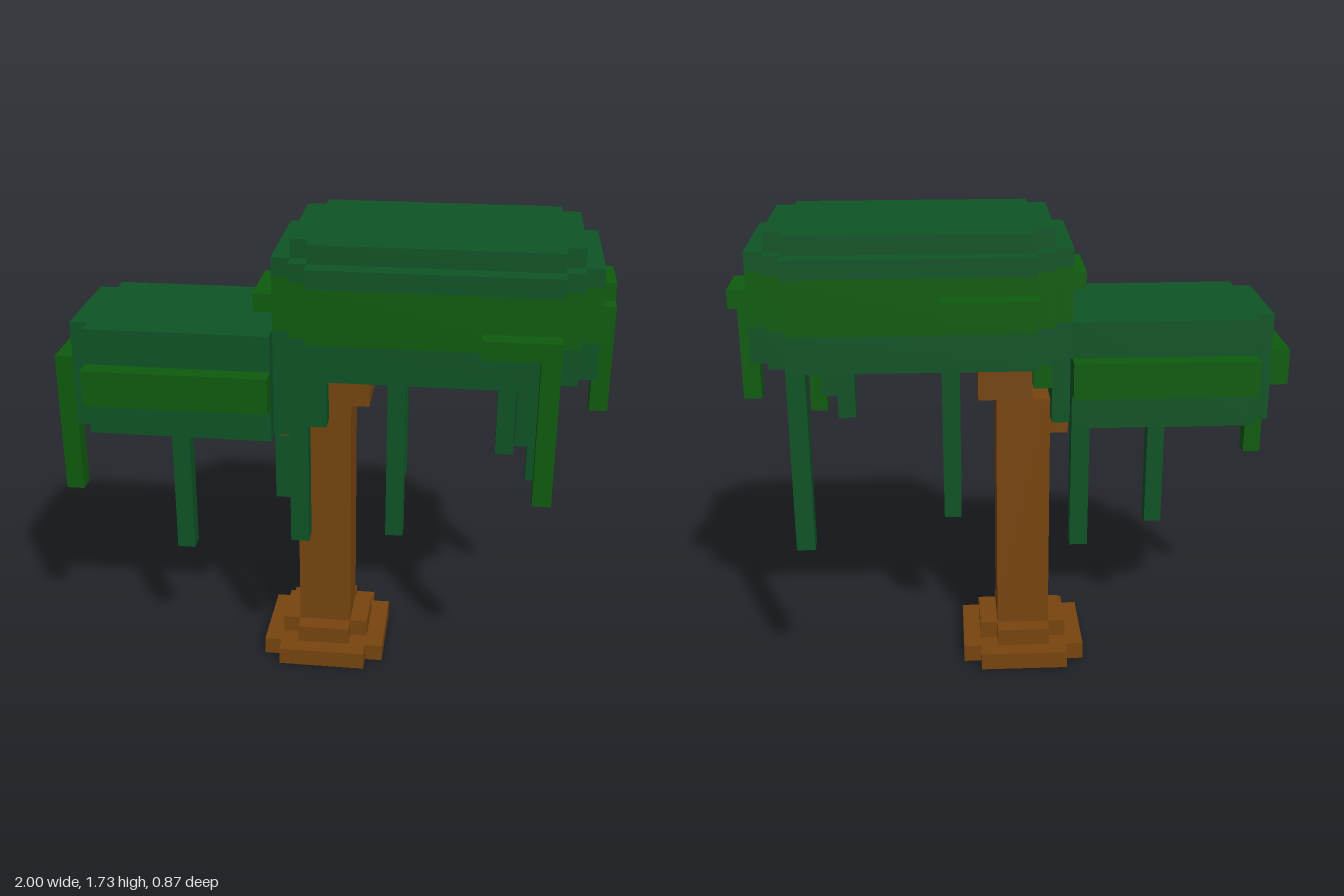
import * as THREE from 'three';

// Blocky tree, laid out on a grid of cells 1/15 unit wide.
const CELL = 1 / 15;

export function createModel() {
  const tree = new THREE.Group();
  tree.name = 'tree';

  const material = (name, color) => {
    const m = new THREE.MeshStandardMaterial({ color });
    m.name = name;
    return m;
  };
  const bark = material('bark brown', 0x78450e);
  const leaf = material('dark leaf green', 0x0e5426);
  const bright = material('bright leaf green', 0x0e5c0e);

  const part = (name) => {
    const g = new THREE.Group();
    g.name = name;
    tree.add(g);
    return g;
  };

  // Box given by its cell limits along each axis
  const block = (parent, name, mat, [x0, x1], [y0, y1], [z0, z1]) => {
    const geo = new THREE.BoxGeometry((x1 - x0) * CELL, (y1 - y0) * CELL, (z1 - z0) * CELL);
    const mesh = new THREE.Mesh(geo, mat);
    mesh.position.set((x0 + x1) / 2, (y0 + y1) / 2, (z0 + z1) / 2).multiplyScalar(CELL);
    mesh.name = name;
    parent.add(mesh);
  };

  // Slab whose corners are cut back in one-cell steps
  const steppedSlab = (parent, name, mat, [x0, x1], y, [z0, z1], steps) => {
    const shape = new THREE.Shape();
    const corner = (x, z, sx, sz, reverse) => {
      const pts = [];
      for (let i = 0; i <= steps; i++) {
        pts.push([x + sx * i, z + sz * (steps - i)]);
        if (i < steps) pts.push([x + sx * (i + 1), z + sz * (steps - i)]);
      }
      return reverse ? pts.reverse() : pts;
    };
    const outline = [
      ...corner(x0, z0, 1, 1, false),
      ...corner(x1, z0, -1, 1, true),
      ...corner(x1, z1, -1, -1, false),
      ...corner(x0, z1, 1, -1, true),
    ];
    shape.setFromPoints(outline.map(([x, z]) => new THREE.Vector2(x * CELL, -z * CELL)));
    const geo = new THREE.ExtrudeGeometry(shape, { depth: (y[1] - y[0]) * CELL, bevelEnabled: false });
    geo.rotateX(-Math.PI / 2);
    const mesh = new THREE.Mesh(geo, mat);
    mesh.position.y = y[0] * CELL;
    mesh.name = name;
    parent.add(mesh);
  };

  // Roots and leaning trunk
  const trunk = part('trunk');
  const depth = [-1.5, 1.5];
  steppedSlab(trunk, 'lowerRoots', bark, [-4, 3], [0, 1], [-3.5, 3.5], 1);
  steppedSlab(trunk, 'upperRoots', bark, [-3, 2], [1, 2], [-2.5, 2.5], 1);
  block(trunk, 'shaft', bark, [-2, 1], [2, 16], depth);
  block(trunk, 'upperShaft', bark, [-1, 2], [16, 18], depth);
  block(trunk, 'crownFork', bark, [0, 3], [18, 19], depth);
  block(trunk, 'sideBranch', bark, [-3, -2], [14, 16], depth);

  // Low crown with a bright band standing out on each side
  const low = part('lowerCrown');
  steppedSlab(low, 'lowerFoliage', leaf, [-14, -2], [15, 21], [-3.5, 4.5], 1);
  for (const z of [-4.5, 4.5]) block(low, 'sideBand', bright, [-13, -3], [17, 19], [z, z + 1]);
  for (const x of [-15, -2]) block(low, 'endBand', bright, [x, x + 1], [17, 19], [-2.5, 3.5]);

  // High crown in coloured layers
  const high = part('upperCrown');
  const layers = [[leaf, 19, 21], [bright, 21, 24], [leaf, 24, 25]];
  for (const [mat, y0, y1] of layers) {
    steppedSlab(high, 'foliageLayer', mat, [-3, 14], [y0, y1], [-5.5, 5.5], 2);
  }
  steppedSlab(high, 'foliageTop', leaf, [-2, 13], [25, 26], [-4.5, 4.5], 1);

  // Bright ledges around the high crown
  block(high, 'frontLedge', bright, [8, 12], [21, 22], [5.5, 6.5]);
  block(high, 'backLedge', bright, [-1, 4], [22, 23], [-6.5, -5.5]);
  block(high, 'leftLedge', bright, [14, 15], [22, 23], [-3.5, -0.5]);
  block(high, 'rightLedge', bright, [-4, -3], [22, 23], [-0.5, 3.5]);

  // Hanging vines: material, x, z of the cell, bottom, top
  const vines = part('vines');
  const hanging = [
    [bright, -15, 2.5, 11, 17],
    [bright, 11, 5.5, 13, 21],
    [bright, 14, -0.5, 16, 22],
    [leaf, -9, 1.5, 7, 15],
    [leaf, -4, -3.5, 8, 15],
    [leaf, -2, 3.5, 9, 19],
    [leaf, -1, 3.5, 16, 19],
    [leaf, 3, 0.5, 8, 19],
    [leaf, 3, -1.5, 11, 19],
    [leaf, 9, 1.5, 14, 19],
    [leaf, 10, 2.5, 15, 19],
    [leaf, 11, -5.5, 9, 19],
  ];
  for (const [mat, x, z, y0, y1] of hanging) {
    block(vines, 'vine', mat, [x, x + 1], [y0, y1], [z, z + 1]);
  }

  return tree;
}
